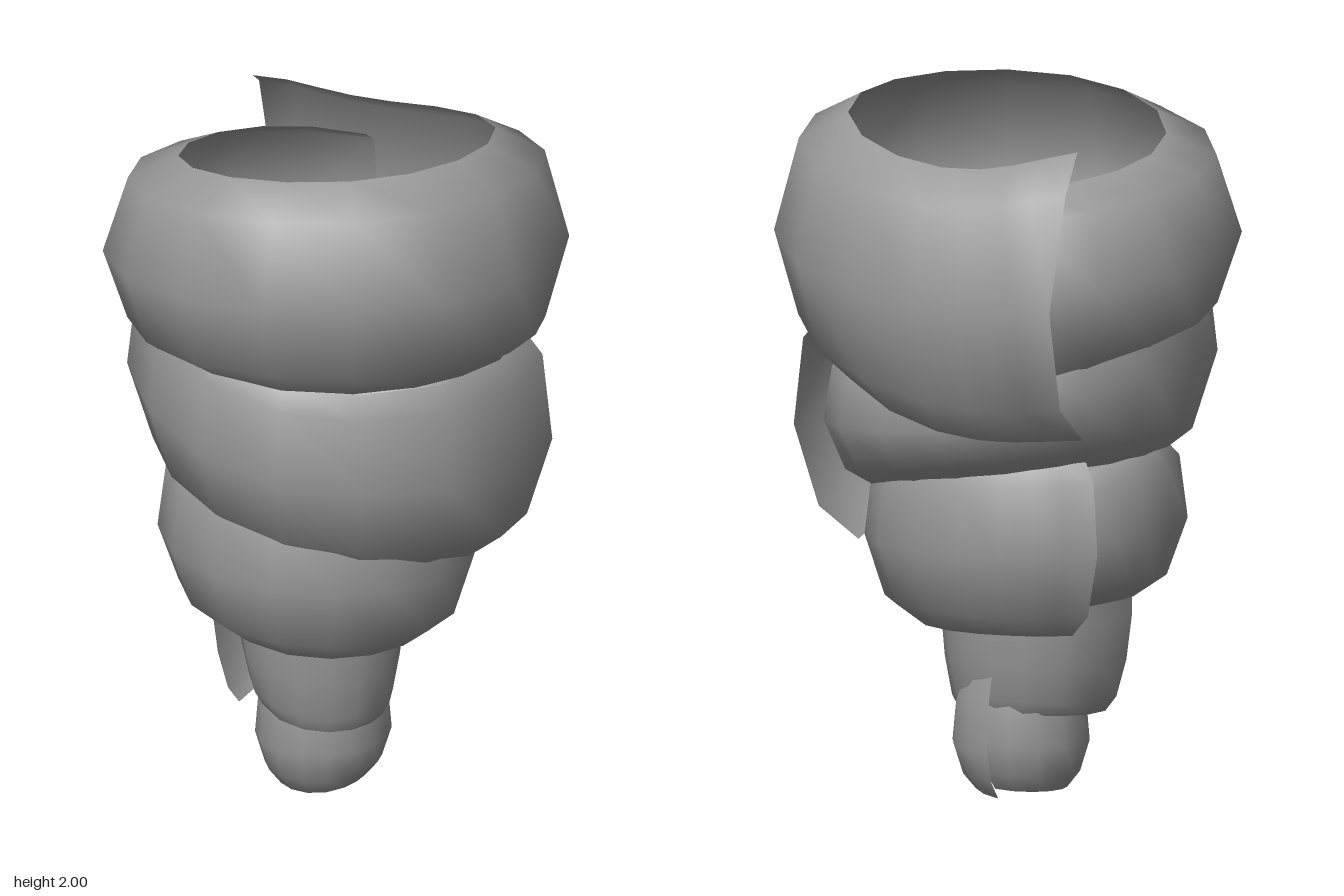
import * as THREE from 'three';

const material = new THREE.MeshStandardMaterial({ color: 0x999999, side: THREE.DoubleSide });

// One open strip wrapped a little more than a full turn.
// section: [radius fraction, height fraction] from the top rim to the bottom rim.
// stations: [angle in degrees (0 = front, 90 = +x), bulge radius, bottom y, top y].
// lean: degrees by which the rims run on past the bulge at the loose end.
function band(name, cx, cz, section, stations, lean = 0) {
  const rows = section.length;
  const steps = (stations.length - 1) * 4;
  const rails = section.map(([rf, hf]) => new THREE.CatmullRomCurve3(
    stations.map(([angle, radius, bottom, top], k) => {
      const extra = k === stations.length - 1 ? lean * (2 * hf - 1) ** 4 : 0;
      return new THREE.Vector3(
        radius * rf,
        THREE.MathUtils.lerp(bottom, top, hf),
        THREE.MathUtils.degToRad(angle + extra)
      );
    }), false, 'catmullrom', 0.5));

  const positions = [], index = [];
  for (let j = 0; j <= steps; j++) {
    for (const rail of rails) {
      const p = rail.getPoint(j / steps);
      positions.push(cx + p.x * Math.sin(p.z), Math.max(0, p.y), cz + p.x * Math.cos(p.z));
    }
  }
  for (let j = 0; j < steps; j++) {
    for (let i = 0; i < rows - 1; i++) {
      const a = j * rows + i, d = a + rows;
      index.push(a, a + 1, d + 1, a, d + 1, d);
    }
  }
  const geometry = new THREE.BufferGeometry();
  geometry.setAttribute('position', new THREE.Float32BufferAttribute(positions, 3));
  geometry.setIndex(index);
  geometry.computeVertexNormals();
  const mesh = new THREE.Mesh(geometry, material);
  mesh.name = name;
  return mesh;
}

// Section from rim radii, with a full bulge at mid height
const bulged = (topRim, bottomRim) => [
  [topRim, 1], [(topRim + 2) / 3, 0.89], [1, 0.5], [(bottomRim + 1.6) / 2.6, 0.14], [bottomRim, 0],
];

export function createModel() {
  const model = new THREE.Group();
  model.name = 'wrappedBands';

  // Wide top band, its loose end flaring out and down at the back
  model.add(band('topBand', 0, 0, bulged(0.68, 0.73), [
    [-172, 0.62, 1.2, 1.8],
    [-90, 0.665, 1.32, 1.88],
    [0, 0.69, 1.36, 1.99],
    [90, 0.66, 1.33, 1.99],
    [180, 0.685, 1.13, 1.89],
    [212, 0.81, 1.12, 1.95],
  ], 13));

  // Upper band, high on the left and ending low on the +x side
  model.add(band('upperBand', 0, 0, bulged(0.86, 0.69), [
    [-272, 0.53, 0.84, 1.27],
    [-180, 0.5, 0.96, 1.3],
    [-90, 0.6, 0.99, 1.62],
    [0, 0.59, 0.83, 1.38],
    [105, 0.61, 0.72, 1.37],
  ], 3));

  // Middle band, ending at the back
  model.add(band('middleBand', -0.03, 0.05, bulged(0.85, 0.67), [
    [-150, 0.44, 0.56, 0.95],
    [-90, 0.47, 0.57, 1.02],
    [0, 0.47, 0.5, 1],
    [90, 0.45, 0.49, 0.98],
    [180, 0.46, 0.5, 1],
    [228, 0.51, 0.5, 1.02],
  ]));

  // Narrow tapering band, its loose end standing off on the -x side
  const taper = [[1, 1], [1, 0.65], [0.95, 0.35], [0.86, 0.1], [0.76, 0]];
  model.add(band('lowerBand', -0.03, 0.04, taper, [
    [-100, 0.25, 0.3, 0.66],
    [0, 0.245, 0.22, 0.68],
    [90, 0.23, 0.22, 0.68],
    [180, 0.235, 0.25, 0.66],
    [285, 0.32, 0.23, 0.66],
  ]));

  // Open tip
  const tip = [[0.78, 1], [0.94, 0.7], [1, 0.35], [0.86, 0.12], [0.67, 0]];
  model.add(band('tipBand', -0.04, 0.02, tip, [
    [-195, 0.18, 0.02, 0.4],
    [-90, 0.19, 0.01, 0.4],
    [0, 0.21, 0, 0.4],
    [90, 0.19, 0.02, 0.38],
    [178, 0.23, 0, 0.42],
  ]));
  return model;
}
